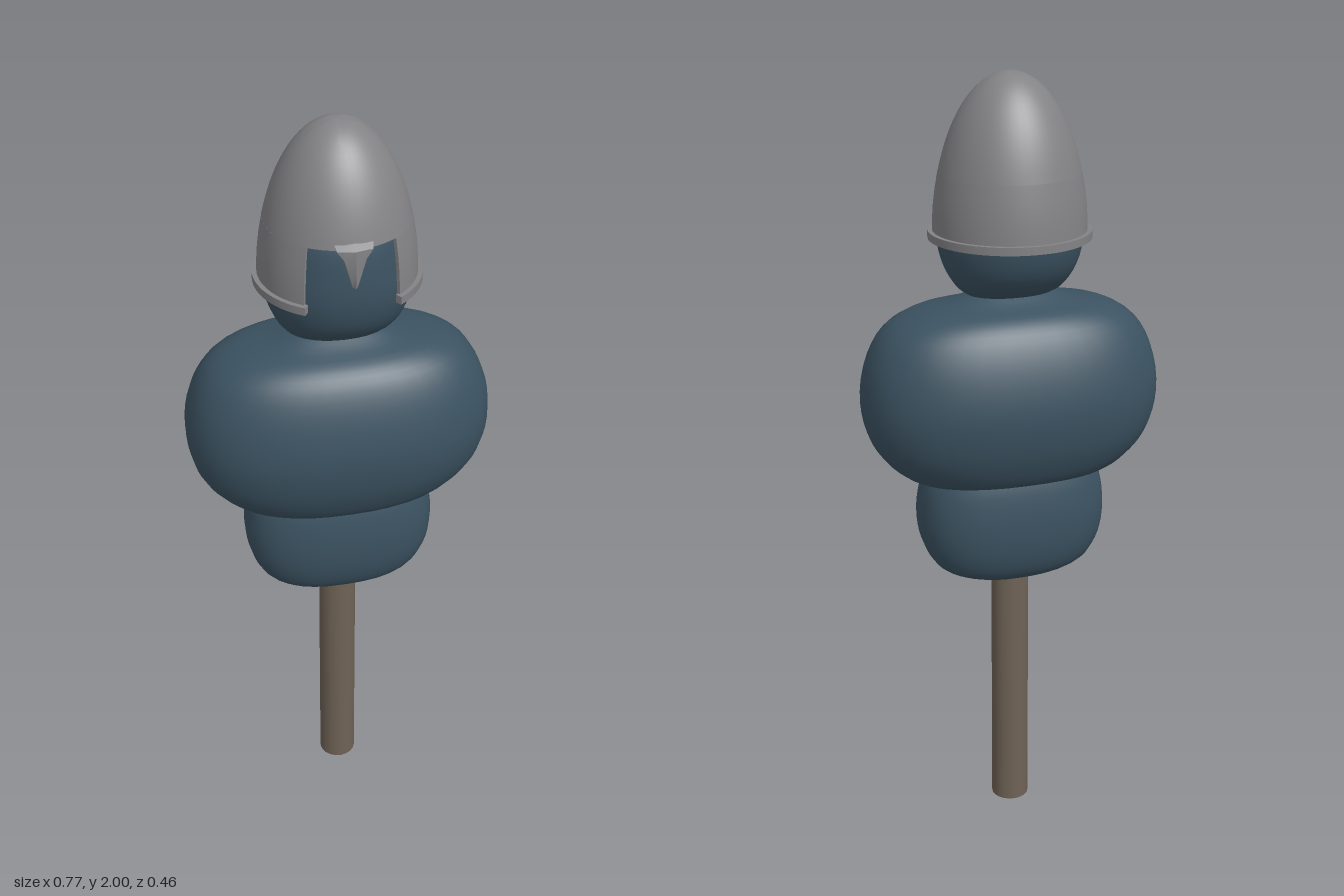
import * as THREE from 'three';
import { toCreasedNormals } from 'three/addons/utils/BufferGeometryUtils.js';

const material = (name, color, opts = {}) => {
  const m = new THREE.MeshStandardMaterial({ color, ...opts });
  m.name = name;
  return m;
};

// Skin a list of closed rings (arrays of Vector3) and close both ends
function loft(rings, crease = 0.7) {
  const n = rings[0].length, last = rings.length - 1;
  const pos = [], index = [];
  rings.forEach(r => r.forEach(p => pos.push(p.x, p.y, p.z)));
  const centre = ring => {
    const c = new THREE.Vector3();
    ring.forEach(p => c.add(p));
    c.divideScalar(n);
    pos.push(c.x, c.y, c.z);
    return pos.length / 3 - 1;
  };
  const c0 = centre(rings[0]), c1 = centre(rings[last]);
  for (let j = 0; j < n; j++) {
    const k = (j + 1) % n;
    for (let i = 0; i < last; i++) {
      const a = i * n + j, b = i * n + k, c = b + n, d = a + n;
      index.push(a, b, c, a, c, d);
    }
    index.push(c0, k, j, c1, last * n + j, last * n + k);
  }
  const g = new THREE.BufferGeometry();
  g.setAttribute('position', new THREE.Float32BufferAttribute(pos, 3));
  g.setIndex(index);
  return toCreasedNormals(g, crease);
}

// Rounded stuffed shape from [halfWidth, y, halfDepth] sections
function padded(sections, power, steps = 24, sides = 32) {
  const curve = new THREE.CatmullRomCurve3(sections.map(s => new THREE.Vector3(...s)));
  const bend = v => Math.sign(v) * Math.abs(v) ** (2 / power);
  return loft(curve.getPoints(steps).map(s =>
    Array.from({ length: sides }, (_, j) => {
      const t = j / sides * Math.PI * 2;
      return new THREE.Vector3(s.x * bend(Math.cos(t)), s.y, -s.z * bend(Math.sin(t)));
    })));
}

const polar = (r, y, phi) => new THREE.Vector3(r * Math.sin(phi), y, r * Math.cos(phi));

// Sweep an [r, y] section around the back, leaving the front open
const openArc = (section, gap, steps = 48) =>
  loft(Array.from({ length: steps + 1 }, (_, i) => {
    const phi = gap + (Math.PI * 2 - 2 * gap) * i / steps;
    return section.map(([r, y]) => polar(r, y, phi));
  }));

export function createModel() {
  const group = new THREE.Group();
  const cloth = material('blue cloth', 0x3b5261);
  const steel = material('grey steel', 0x838386);
  const wood = material('brown wood', 0x6e6255);
  const add = (name, geometry, mat, parent = group) => {
    const mesh = new THREE.Mesh(geometry, mat);
    mesh.name = name;
    parent.add(mesh);
    return mesh;
  };

  // Support pole, a little thinner in depth towards the top
  add('pole', padded([[0.05, 0, 0.05], [0.05, 0.4, 0.045], [0.05, 0.78, 0.04]], 2, 4, 20), wood);

  // Stuffed body
  add('pelvis', padded([
    [0.05, 0.69, 0.03], [0.12, 0.705, 0.085], [0.2, 0.74, 0.125], [0.235, 0.8, 0.145],
    [0.247, 0.88, 0.151], [0.237, 0.96, 0.143], [0.215, 1.01, 0.13]], 2.6), cloth);
  add('torso', padded([
    [0.2, 0.985, 0.125], [0.275, 1.0, 0.165], [0.335, 1.05, 0.197], [0.37, 1.11, 0.218],
    [0.385, 1.2, 0.229], [0.37, 1.3, 0.212], [0.325, 1.38, 0.18], [0.26, 1.42, 0.145],
    [0.16, 1.443, 0.09], [0.1, 1.465, 0.05]], 2.4, 30, 40), cloth);
  add('head', padded([
    [0.1, 1.455, 0.055], [0.135, 1.48, 0.1], [0.165, 1.53, 0.143], [0.181, 1.6, 0.163],
    [0.171, 1.68, 0.163], [0.155, 1.76, 0.15], [0.1, 1.85, 0.1], [0.03, 1.89, 0.03]], 2.15), cloth);

  // Helmet: closed dome above, open-fronted wall below
  const helmet = new THREE.Group();
  helmet.name = 'helmet';
  group.add(helmet);
  const base = 1.6, brow = 1.76, thick = 0.009;
  const radius = y => 0.192 * Math.sqrt(Math.max(0, 1 - ((y - base) / 0.4) ** 2));
  const outer = [];
  for (let i = 0; i <= 18; i++) {
    const a = THREE.MathUtils.lerp(Math.asin((brow - base) / 0.4), Math.PI / 2, i / 18);
    outer.push(new THREE.Vector2(0.192 * Math.cos(a), base + 0.4 * Math.sin(a)));
  }
  outer[18].x = 0;
  const inner = outer.map(p => new THREE.Vector2(Math.max(0, p.x - thick), p.y === brow ? brow : p.y - thick * (p.y - brow) / 0.24)).reverse();
  add('helmetDome', toCreasedNormals(new THREE.LatheGeometry([...inner, ...outer], 48), 0.7), steel, helmet);

  const heights = [0, 1, 2, 3, 4].map(i => base + (brow - base) * i / 4);
  const wall = [
    ...heights.slice().reverse().map(y => [radius(y), y]),
    ...heights.map(y => [radius(y) - thick, y])];
  add('helmetWall', openArc(wall, 0.63), steel, helmet);

  // Rim band
  add('helmetRim', openArc([[0.203, 1.62], [0.203, 1.6], [0.186, 1.6], [0.186, 1.62]], 0.59), steel, helmet);

  // Tapered nose guard hanging from the brow
  const guard = [[1.67, 0.006, 0.194], [1.7, 0.014, 0.195], [1.74, 0.026, 0.193], [1.762, 0.042, 0.19], [1.775, 0.045, 0.172]];
  add('noseGuard', loft(guard.map(([y, w, z]) => [
    new THREE.Vector3(w, y, z - 0.008), new THREE.Vector3(w, y, 0.164),
    new THREE.Vector3(-w, y, 0.164), new THREE.Vector3(-w, y, z - 0.008),
    new THREE.Vector3(0, y, z)]), 0.4), steel, helmet);

  return group;
}
